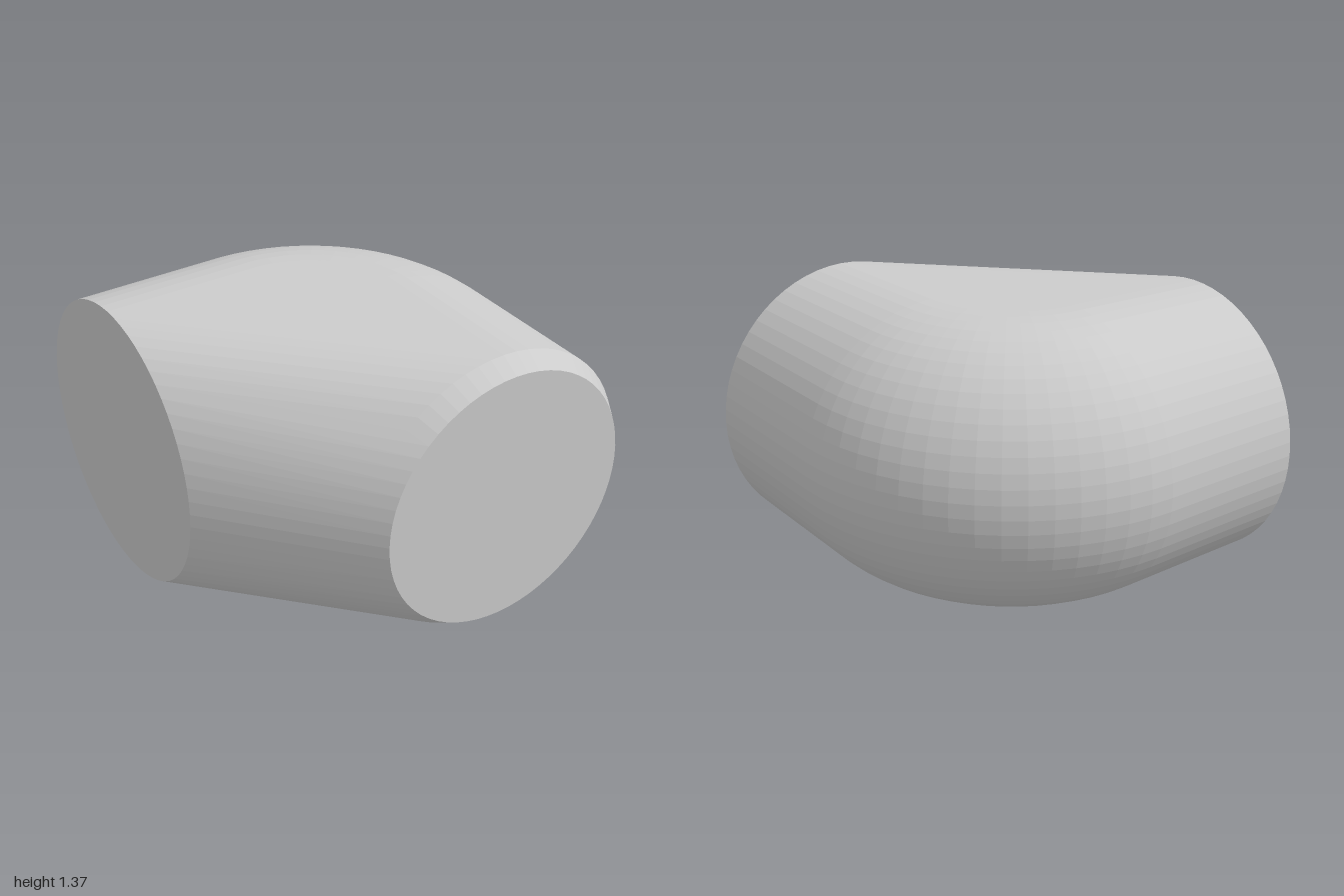
import * as THREE from 'three';
import { ConvexGeometry } from 'three/addons/geometries/ConvexGeometry.js';

const SIDES = 64;
const MID_Y = 0.685;

// Ring of points round a centreline position; angle 0 faces +x, 90 degrees faces -z.
function ring(points, x, z, angle, radius) {
  for (let i = 0; i < SIDES; i++) {
    const t = (i / SIDES) * Math.PI * 2;
    const out = radius * Math.cos(t);
    points.push(new THREE.Vector3(
      x + out * Math.cos(angle),
      MID_Y + radius * Math.sin(t),
      z - out * Math.sin(angle)
    ));
  }
}

export function createModel() {
  const group = new THREE.Group();
  const points = [];

  // Front end: chamfered mouth
  ring(points, 0.25, 1, 0, 0.615);
  ring(points, 0.25, 0.91, 0, 0.673);

  // Quarter bend, slightly wider than the ends
  const steps = 16;
  for (let i = 0; i <= steps; i++) {
    const a = (i / steps) * Math.PI / 2;
    ring(points, -0.2 + 0.45 * Math.cos(a), 0.135 - 0.45 * Math.sin(a), a, 0.684);
  }

  // Side end: plain flat mouth
  ring(points, -0.935, -0.32, Math.PI / 2, 0.67);

  // The hull fills the inside of the bend with a straight web
  const elbow = new THREE.Mesh(
    new ConvexGeometry(points),
    new THREE.MeshStandardMaterial({ color: 0xcccccc, flatShading: true })
  );
  elbow.name = 'elbowBody';
  group.add(elbow);
  return group;
}
